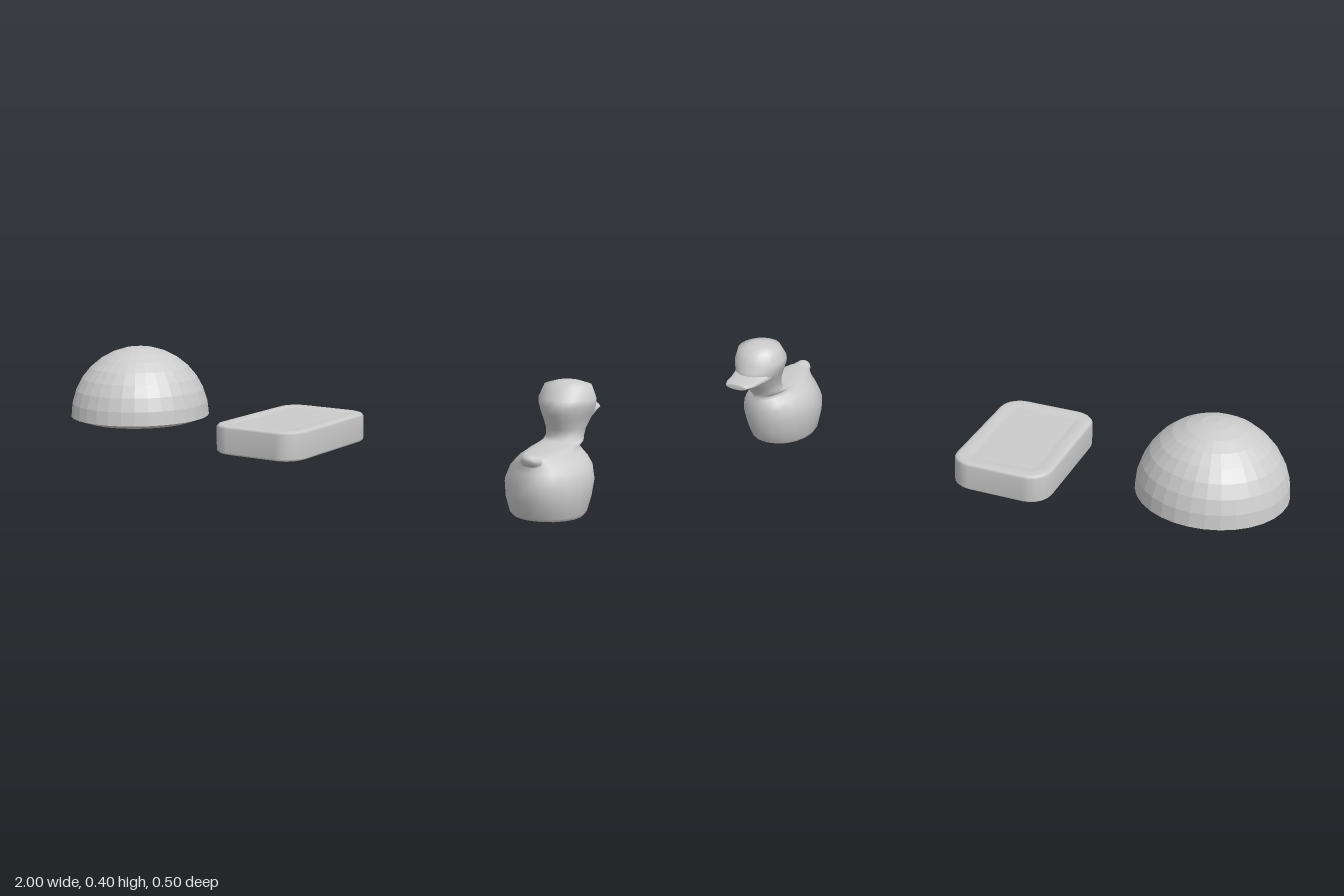
import * as THREE from 'three';

const grey = (opts = {}) => new THREE.MeshStandardMaterial({ color: 0xcccccc, ...opts });

// Skin a stack of closed rings (arrays of Vector3) and close both ends
function loft(rings) {
  const n = rings[0].length, pos = [], index = [];
  rings.forEach(ring => ring.forEach(p => pos.push(p.x, p.y, p.z)));
  for (let i = 0; i < rings.length - 1; i++) {
    for (let j = 0; j < n; j++) {
      const k = (j + 1) % n;
      const a = i * n + j, b = i * n + k, c = a + n, d = b + n;
      index.push(a, b, d, a, d, c);
    }
  }
  [0, rings.length - 1].forEach((r, end) => {
    const mid = rings[r].reduce((s, p) => s.add(p), new THREE.Vector3()).divideScalar(n);
    const m = pos.length / 3;
    pos.push(mid.x, mid.y + (end && rings.lift || 0), mid.z);
    for (let j = 0; j < n; j++) {
      const a = r * n + j, b = r * n + (j + 1) % n;
      if (end) index.push(m, a, b); else index.push(m, b, a);
    }
  });
  const geo = new THREE.BufferGeometry();
  geo.setAttribute('position', new THREE.Float32BufferAttribute(pos, 3));
  geo.setIndex(index);
  geo.computeVertexNormals();
  return geo;
}

function part(name, geo, material) {
  const mesh = new THREE.Mesh(geo, material);
  mesh.name = name;
  return mesh;
}

// Hollow faceted half sphere with a sloping rim
function makeDome() {
  const rows = 8, inner = [], outer = [];
  for (let i = 0; i <= rows; i++) {
    const a = (i / rows) * Math.PI / 2;
    inner.push(new THREE.Vector2(0.2 * Math.sin(a), 0.133 + 0.214 * Math.cos(a)));
    outer.push(new THREE.Vector2(0.248 * Math.cos(a), 0.15 + 0.248 * Math.sin(a)));
  }
  const dome = part('dome', new THREE.LatheGeometry([...inner, ...outer], 32), grey({ flatShading: true }));
  dome.position.x = -0.752;
  return dome;
}

// Rounded bar with a shallow dished top
function makeBar() {
  const roundedRing = (y, inset, radius) => {
    const pts = [], hx = 0.17 - inset, hz = 0.25 - inset;
    [[1, 1], [1, -1], [-1, -1], [-1, 1]].forEach(([sx, sz], q) => {
      for (let s = 0; s <= 5; s++) {
        const a = (q + s / 5) * Math.PI / 2;
        pts.push(new THREE.Vector3(
          sx * (hx - radius) + radius * Math.sin(a), y,
          sz * (hz - radius) + radius * Math.cos(a)));
      }
    });
    return pts;
  };
  const rings = [
    [0.1, 0.05, 0.03], [0.1, 0.017, 0.06], [0.103, 0.007, 0.068], [0.11, 0, 0.075],
    [0.19, 0, 0.075], [0.197, 0.006, 0.069], [0.2, 0.016, 0.06],
    [0.2, 0.04, 0.035], [0.196, 0.052, 0.025], [0.196, 0.065, 0.015],
  ].map(r => roundedRing(...r));
  const bar = part('bar', loft(rings), grey());
  bar.position.x = -0.1;
  return bar;
}

// Toy duck facing -z
function makeDuck() {
  const duck = new THREE.Group();
  duck.name = 'duck';

  // Body, neck and head: height, back z, front z, half width, narrowing to the back
  const sections = [
    [0, 0.15, -0.07, 0.095, 0], [0.001, 0.163, -0.08, 0.107, 0], [0.012, 0.177, -0.097, 0.114, 0],
    [0.06, 0.196, -0.115, 0.126, 0], [0.11, 0.207, -0.127, 0.132, 0.05],
    [0.15, 0.196, -0.128, 0.122, 0.15], [0.175, 0.194, -0.126, 0.102, 0.25],
    [0.192, 0.2, -0.122, 0.078, 0.3], [0.202, 0.19, -0.121, 0.066, 0.3],
    [0.208, 0.06, -0.121, 0.064, 0.1], [0.215, -0.003, -0.123, 0.062, 0],
    [0.228, -0.015, -0.13, 0.059, 0], [0.25, -0.011, -0.148, 0.06, 0],
    [0.278, 0.003, -0.178, 0.069, 0], [0.3, 0.012, -0.192, 0.078, 0],
    [0.325, 0.02, -0.182, 0.088, 0.1], [0.345, 0.011, -0.174, 0.09, 0.1],
    [0.385, -0.014, -0.16, 0.073, 0], [0.396, -0.045, -0.125, 0.038, 0],
  ];
  const n = 20;
  const rings = sections.map(([y, back, front, rx, taper]) =>
    Array.from({ length: n }, (_, j) => {
      const a = (j / n) * Math.PI * 2, c = Math.cos(a);
      return new THREE.Vector3(
        rx * Math.sin(a) * (1 - taper * Math.max(0, c)), y,
        (back + front) / 2 + (back - front) / 2 * c);
    }));
  rings.lift = 0.007;
  duck.add(part('body', loft(rings), grey()));

  // Tail: upturned tip
  const tail = part('tail', new THREE.SphereGeometry(1, 12, 8), grey());
  tail.scale.set(0.035, 0.022, 0.045);
  tail.position.set(0, 0.182, 0.168);
  tail.rotation.x = -0.4;
  duck.add(tail);

  // Bill: flat and wide, z, centre y, half width, half height
  const bill = [
    [-0.12, 0.3, 0.075, 0.034], [-0.155, 0.299, 0.068, 0.025], [-0.185, 0.299, 0.061, 0.015],
    [-0.22, 0.3, 0.056, 0.011], [-0.249, 0.301, 0.041, 0.01], [-0.25, 0.301, 0.036, 0.008],
  ].map(([z, y, rx, ry]) => Array.from({ length: 16 }, (_, j) => {
    const a = (j / 16) * Math.PI * 2;
    return new THREE.Vector3(rx * Math.sin(a), y + ry * Math.cos(a), z);
  }));
  duck.add(part('bill', loft(bill), grey()));

  duck.position.x = 0.866;
  return duck;
}

export function createModel() {
  const model = new THREE.Group();
  model.name = 'bathSet';
  model.add(makeDome(), makeBar(), makeDuck());
  return model;
}
